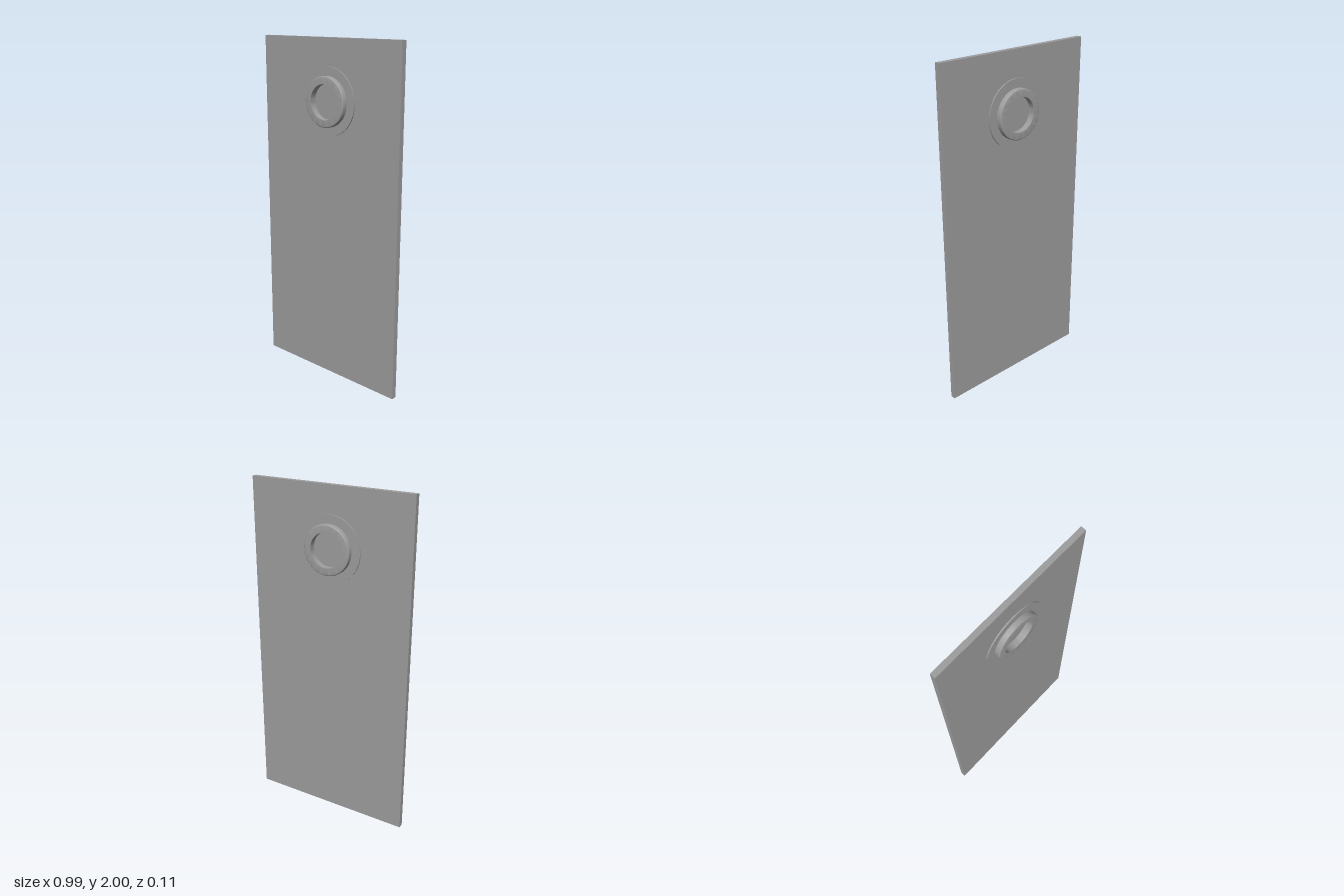
import * as THREE from 'three';
import { toCreasedNormals } from 'three/addons/utils/BufferGeometryUtils.js';

const material = new THREE.MeshStandardMaterial({ color: 0x9d9d9d });
const HOLE = 0.098, FLANGE = 0.192, COLLAR = 0.141;
const FLANGE_Z = 0.023, COLLAR_Z = 0.053, FILLET = 0.008;

// Ring turned about the lathe axis, with crisp edges kept sharp
function turned(name, points) {
  const lathe = new THREE.LatheGeometry(points.map(([r, h]) => new THREE.Vector2(r, h)), 64);
  const mesh = new THREE.Mesh(toCreasedNormals(lathe, 0.5), material);
  mesh.name = name;
  return mesh;
}

// One face of the eyelet: thin flange plus raised collar with a rounded outer edge
function eyeletHalf(name) {
  const half = new THREE.Group();
  half.name = name;
  half.add(turned('flange', [[FLANGE, 0], [FLANGE, FLANGE_Z], [HOLE, FLANGE_Z], [HOLE, 0]]));

  // Narrow bands either side of the fillet keep the wall and the rim evenly shaded
  const collar = [[COLLAR, 0], [COLLAR, COLLAR_Z - FILLET - 0.001]];
  for (let i = 0; i <= 6; i++) {
    const a = (i / 6) * Math.PI / 2;
    collar.push([COLLAR - FILLET * (1 - Math.cos(a)), COLLAR_Z - FILLET * (1 - Math.sin(a))]);
  }
  collar.push([COLLAR - FILLET - 0.001, COLLAR_Z], [HOLE, COLLAR_Z], [HOLE, 0]);
  half.add(turned('collar', collar));
  return half;
}

export function createModel() {
  const model = new THREE.Group();
  model.name = 'tag';

  // Flat panel, which also closes the eyelet's recess
  const panel = new THREE.Mesh(new THREE.BoxGeometry(0.988, 2, 0.031), material);
  panel.name = 'panel';
  panel.position.y = 1;
  model.add(panel);

  // Matching eyelet halves on front and back
  for (const side of [1, -1]) {
    const half = eyeletHalf(side > 0 ? 'frontEyelet' : 'backEyelet');
    half.rotation.x = side * Math.PI / 2;
    half.position.y = 1.656;
    model.add(half);
  }
  return model;
}
